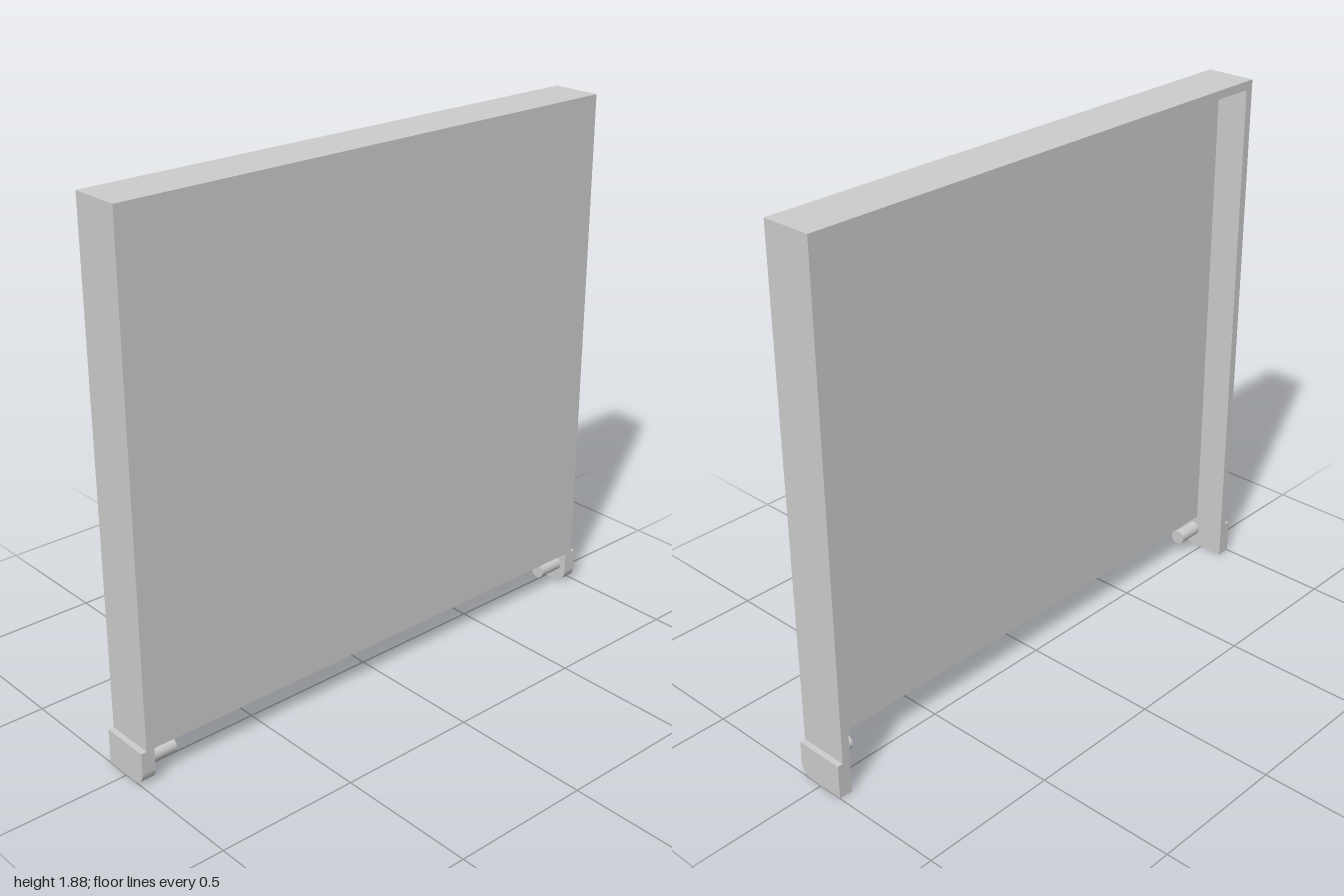
import * as THREE from 'three';
import { toCreasedNormals } from 'three/addons/utils/BufferGeometryUtils.js';

const WIDTH = 1.96, BOTTOM = 0.125, TOP = 1.88, DEPTH = 0.18;
const RIM = 0.03, PLATE = 0.065;

export function createModel() {
  const model = new THREE.Group();
  const material = new THREE.MeshStandardMaterial({ color: 0xcccccc });
  const add = (name, geometry) => {
    const mesh = new THREE.Mesh(geometry, material);
    mesh.name = name;
    model.add(mesh);
    return mesh;
  };

  // Front plate
  const plate = add('frontPlate', new THREE.BoxGeometry(WIDTH, TOP - BOTTOM, PLATE));
  plate.position.set(0, (TOP + BOTTOM) / 2, DEPTH / 2 - PLATE / 2);

  // Rim behind the plate: two sides and the top, open at the bottom
  const w = WIDTH / 2, i = w - RIM;
  const rimShape = new THREE.Shape([
    [-w, BOTTOM], [-i, BOTTOM], [-i, TOP - RIM], [i, TOP - RIM],
    [i, BOTTOM], [w, BOTTOM], [w, TOP], [-w, TOP],
  ].map(([x, y]) => new THREE.Vector2(x, y)));
  const rim = add('rim', new THREE.ExtrudeGeometry(rimShape, { depth: DEPTH - PLATE, bevelEnabled: false }));
  rim.position.z = -DEPTH / 2;

  // Foot profile (z across, y up) with a rounded lower front corner
  const d = DEPTH / 2, r = 0.05, footWidth = 0.05;
  const footShape = new THREE.Shape();
  footShape.moveTo(-d, 0);
  footShape.lineTo(d - r, 0);
  footShape.absarc(d - r, r, r, -Math.PI / 2, 0, false);
  footShape.lineTo(d, BOTTOM);
  footShape.lineTo(-d, BOTTOM);
  footShape.closePath();
  const footGeometry = toCreasedNormals(
    new THREE.ExtrudeGeometry(footShape, { depth: footWidth, bevelEnabled: false, curveSegments: 10 })
      .rotateY(-Math.PI / 2).translate(footWidth / 2, 0, 0), 0.5);
  const pinGeometry = new THREE.CylinderGeometry(0.027, 0.027, 0.1, 32).rotateZ(Math.PI / 2);

  // Feet at both ends, each with a pin pointing inwards
  for (const [side, s] of [['left', 1], ['right', -1]]) {
    add(side + 'Foot', footGeometry).position.x = s * (1 - footWidth / 2);
    add(side + 'Pin', pinGeometry).position.set(s * 0.9, 0.07, 0.04);
  }
  return model;
}
